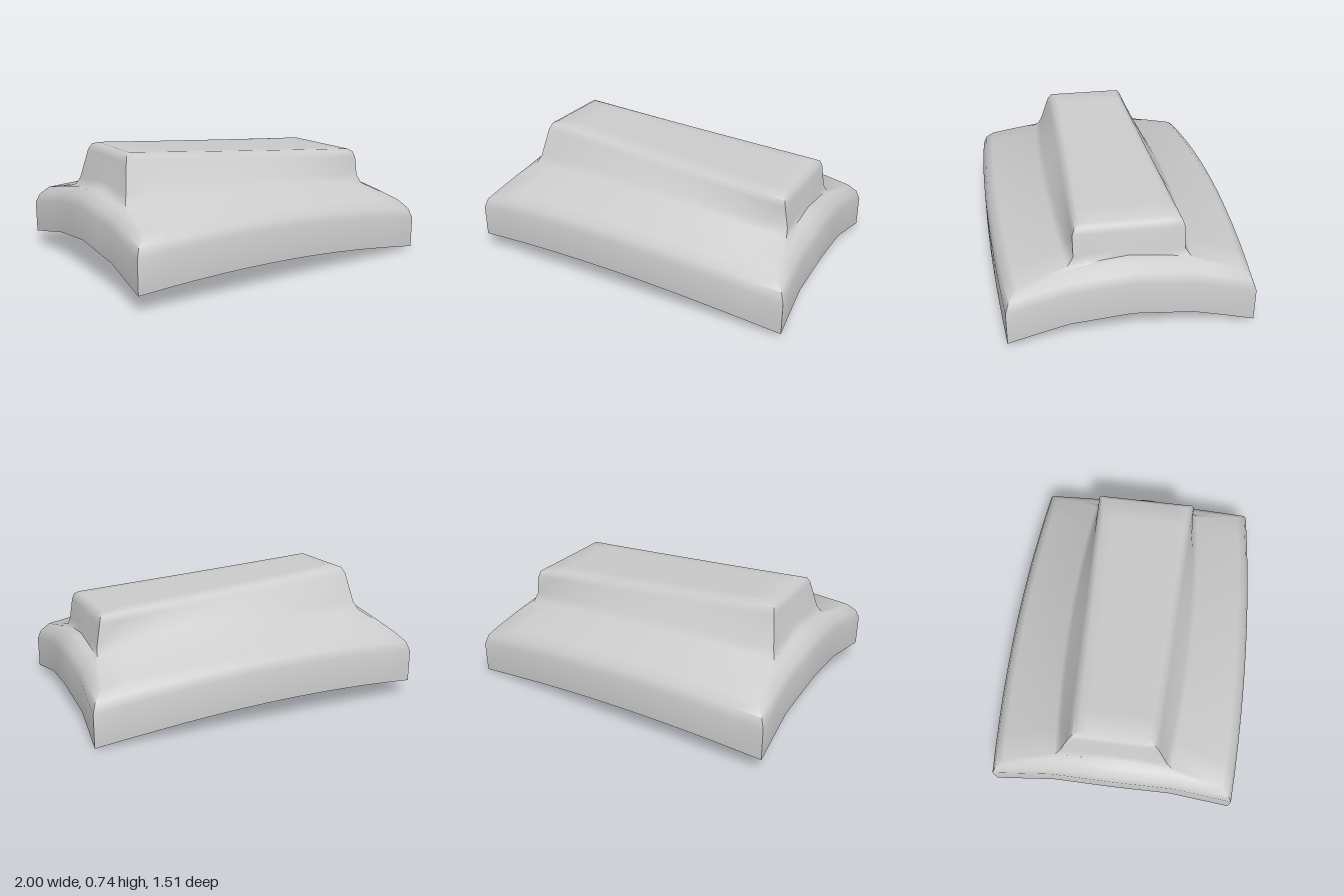
import * as THREE from 'three';
import { toCreasedNormals } from 'three/addons/utils/BufferGeometryUtils.js';

const NX = 12, NZ = 8;
const lerp = THREE.MathUtils.lerp;

// Bowed ground line of the shell: arched along x and peaked along z
const arch = (z) => {
  const t = Math.min(Math.abs(z) / 0.72, 1);
  return t < 0.53 ? lerp(0.112, 0.068, t / 0.53) : lerp(0.068, 0, (t - 0.53) / 0.47);
};
const baseY = (x, z) => 0.138 - 0.071 * (x + 0.33) ** 2 + arch(z) + 0.009 * z;
const roofY = (x) => 0.748 - 0.085 * (x + 0.77) + 0.004 * (x + 0.77) ** 2;

// End walls dip in slightly between the corners and the middle
const endBow = (t) => {
  const a = Math.abs(t);
  return a < 0.5 ? lerp(0.014, 0.024, a * 2) : lerp(0.024, 0, a * 2 - 1);
};

// Lower rings follow the ground line at height h
const lowerRing = (inset, h) => (s, t) => {
  const bow = endBow(t) * Math.abs(s) ** 5;
  const x = s * (0.998 - inset - bow);
  const z = t * (0.7525 - 0.02 * s - 0.0375 * s * s - inset);
  return new THREE.Vector3(x, baseY(x, z) + h, z);
};

// Rings at the foot of the raised housing
const footRing = (xl, xr, inset, h) => (s, t) => {
  const x = lerp(xl, xr, (s + 1) / 2);
  const z = t * (0.394 - 0.0025 * s - 0.047 * s * s - inset);
  return new THREE.Vector3(x, baseY(x, z) + h, z);
};

// Upper rings hang a given drop below the sloping roof
const roofRing = (xl, xr, zl, zr, drop) => (s, t) => {
  const x = lerp(xl, xr, (s + 1) / 2);
  return new THREE.Vector3(x, roofY(x) - drop, t * lerp(zl, zr, (s + 1) / 2));
};

// Walk around the four sides of a ring, counter-clockwise from above
function loopPoints(ring) {
  const pts = [];
  for (let i = 0; i < NX; i++) pts.push(ring(-1 + 2 * i / NX, 1));
  for (let i = 0; i < NZ; i++) pts.push(ring(1, 1 - 2 * i / NZ));
  for (let i = 0; i < NX; i++) pts.push(ring(1 - 2 * i / NX, -1));
  for (let i = 0; i < NZ; i++) pts.push(ring(-1, -1 + 2 * i / NZ));
  return pts;
}

function shellGeometry(rings) {
  const pos = [];
  const quad = (a, b, c, d) => [a, b, c, a, c, d].forEach((p) => pos.push(p.x, p.y, p.z));

  // Walls between neighbouring rings
  const loops = rings.map(loopPoints);
  for (let r = 0; r < loops.length - 1; r++) {
    const a = loops[r], b = loops[r + 1], n = a.length;
    for (let i = 0; i < n; i++) quad(a[i], a[(i + 1) % n], b[(i + 1) % n], b[i]);
  }

  // Roof panel closing the last ring
  const top = rings[rings.length - 1];
  for (let i = 0; i < NX; i++) {
    for (let j = 0; j < NZ; j++) {
      const s0 = -1 + 2 * i / NX, s1 = -1 + 2 * (i + 1) / NX;
      const t0 = 1 - 2 * j / NZ, t1 = 1 - 2 * (j + 1) / NZ;
      quad(top(s0, t0), top(s1, t0), top(s1, t1), top(s0, t1));
    }
  }
  const geo = new THREE.BufferGeometry();
  geo.setAttribute('position', new THREE.Float32BufferAttribute(pos, 3));
  return toCreasedNormals(geo, 1.0);
}

export function createModel() {
  const group = new THREE.Group();
  group.name = 'cover';

  const rings = [
    lowerRing(0, 0),                                // open lower rim
    lowerRing(0, 0.193),                            // top of skirt
    lowerRing(0.02, 0.245),                         // rounded shoulder
    lowerRing(0.07, 0.283),                         // outer edge of shelf
    footRing(-0.87, 0.868, 0, 0.288),               // foot of housing
    footRing(-0.85, 0.858, 0.033, 0.33),            // fillet
    roofRing(-0.815, 0.838, 0.262, 0.312, 0.052),   // top of housing walls
    roofRing(-0.80, 0.826, 0.238, 0.297, 0.015),    // rounded roof edge
    roofRing(-0.77, 0.80, 0.205, 0.272, 0),         // roof
  ];
  const material = new THREE.MeshStandardMaterial({ color: 0xcccccc, side: THREE.DoubleSide });
  const shell = new THREE.Mesh(shellGeometry(rings), material);
  shell.name = 'coverShell';
  group.add(shell);
  return group;
}
